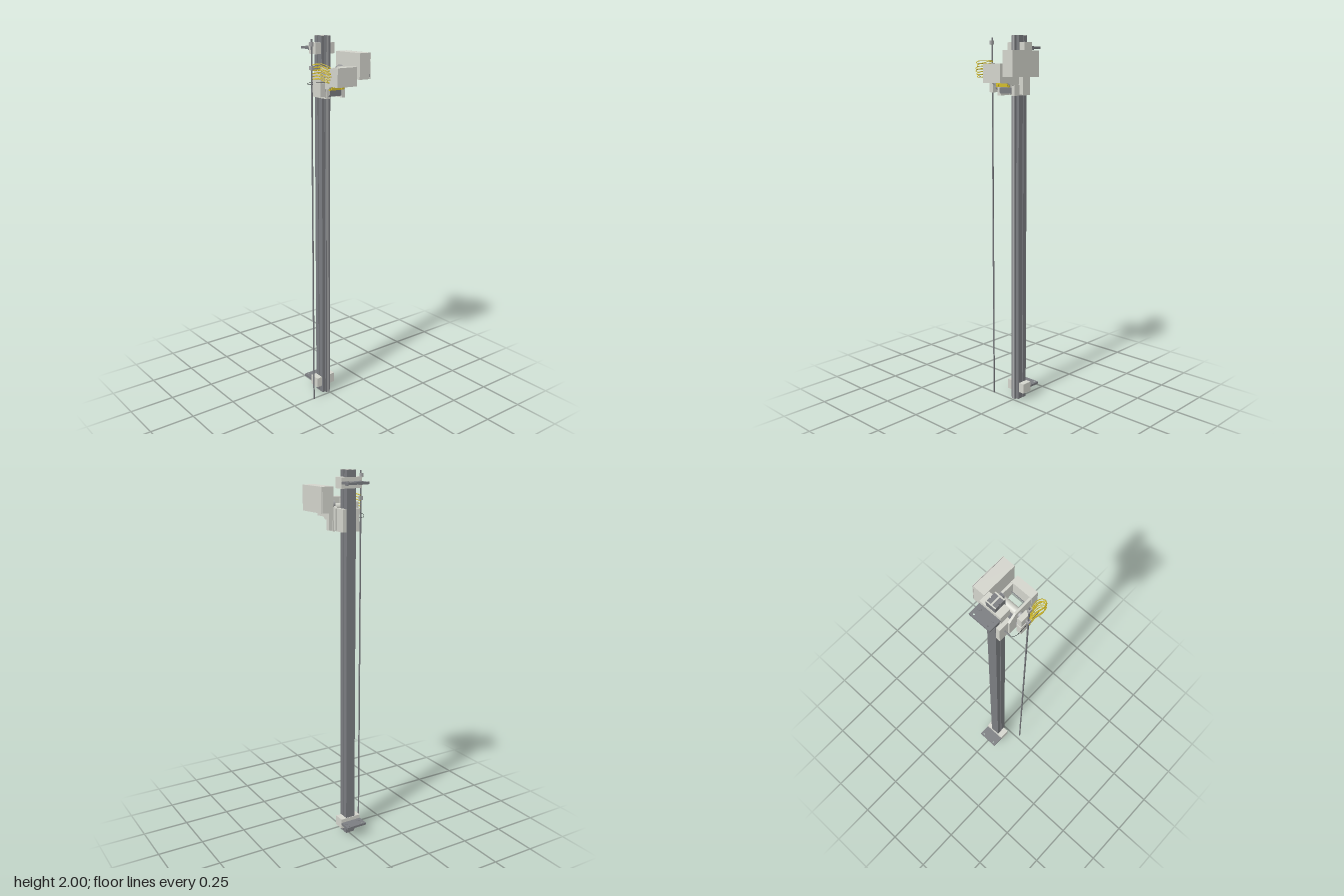
import * as THREE from 'three';

const mat = (name, color) => new THREE.MeshStandardMaterial({ name, color });

export function createModel() {
  const light = mat('light grey', 0xd3d4cc);
  const dark = mat('dark steel', 0x7b7d81);
  const mid = mat('mid grey', 0xa6a7a8);
  const black = mat('black', 0x2c2d2f);
  const yellow = mat('yellow', 0xd2bc2c);
  const root = new THREE.Group();
  const CX = -0.008; // centre line of the mast

  const add = (name, geo, material, parent = root) => {
    const m = new THREE.Mesh(geo, material);
    m.name = name;
    parent.add(m);
    return m;
  };
  // box from its limits on each axis
  const box = (name, material, [x0, x1], [y0, y1], [z0, z1], parent) => {
    const m = add(name, new THREE.BoxGeometry(x1 - x0, y1 - y0, z1 - z0), material, parent);
    m.position.set((x0 + x1) / 2, (y0 + y1) / 2, (z0 + z1) / 2);
  };
  // cylinder lying along x
  const rod = (name, material, x0, x1, y, z, r, sides = 24) => {
    const m = add(name, new THREE.CylinderGeometry(r, r, x1 - x0, sides).rotateZ(Math.PI / 2), material);
    m.position.set((x0 + x1) / 2, y, z);
  };
  // outline in x and z, extruded upwards from y0
  const upright = (pts, holes, y0, h) => {
    const s = new THREE.Shape(pts.map(([x, z]) => new THREE.Vector2(x, -z)));
    holes.forEach(([x, z, r]) => s.holes.push(new THREE.Path().absarc(x, -z, r, 0, Math.PI * 2, true)));
    return new THREE.ExtrudeGeometry(s, { depth: h, bevelEnabled: false, curveSegments: 10 })
      .rotateX(-Math.PI / 2).translate(0, y0, 0);
  };
  // outline in z and y, extruded along x
  const sidePlate = (pts, x0, x1) =>
    new THREE.ExtrudeGeometry(new THREE.Shape(pts.map(([z, y]) => new THREE.Vector2(-z, y))),
      { depth: x1 - x0, bevelEnabled: false }).rotateY(Math.PI / 2).translate(x0, 0, 0);

  // mast: deep beam with shallow side grooves and a guide rail on its front face
  const half = [[0.027, -0.085], [0.027, -0.06], [0.022, -0.06], [0.022, -0.054], [0.027, -0.054],
    [0.027, -0.024], [0.009, -0.024], [0.009, -0.02], [0.012, -0.018], [0.012, -0.012]];
  const profile = [...half.map(([x, z]) => [CX + x, z]), ...half.slice().reverse().map(([x, z]) => [CX - x, z])];
  add('mast', upright(profile, [], 0, 1.999), dark);
  box('guideRailFace', mid, [CX - 0.006, CX + 0.006], [0, 2], [-0.012, -0.01]);
  // pale cut ends of the web and flanges
  for (const y of [[1.999, 2], [-0.001, 0]]) {
    box('webEnd', light, [CX - 0.004, CX + 0.004], y, [-0.079, -0.031]);
    box('backFlangeEnd', light, [CX - 0.027, CX + 0.027], y, [-0.085, -0.079]);
    box('frontFlangeEnd', light, [CX - 0.027, CX + 0.027], y, [-0.031, -0.024]);
  }

  // wall brackets at the foot and the head of the mast
  for (const y of [0.04, 1.91]) {
    const g = new THREE.Group();
    g.name = 'wallBracket';
    root.add(g);
    for (const s of [-1, 1]) {
      const x = [CX + s * 0.027, CX + s * 0.06].sort((a, b) => a - b);
      box('clamp', light, x, [y, y + 0.055], [-0.087, -0.03], g);
    }
    box('clampBack', light, [CX - 0.06, CX + 0.06], [y, y + 0.055], [-0.089, -0.0855], g);
    const plate = [[-0.068, -0.155], [0.052, -0.155], [0.052, -0.088], [-0.068, -0.088]];
    const holes = [-0.047, 0.033].map(x => [x, -0.143, 0.004]);
    add('wallPlate', upright(plate, holes, y + 0.022, 0.012), dark, g);
    for (const x of [-0.047, 0.033]) {
      const bolt = add('bolt', new THREE.CylinderGeometry(0.01, 0.01, 0.02, 20), dark, g);
      bolt.position.set(x, y + 0.026, -0.108);
    }
  }

  // carriage: cheeks beside the mast and tapered arms reaching forward
  for (const s of [-1, 1]) {
    const [a, b] = [CX + s * 0.028, CX + s * 0.05].sort((p, q) => p - q);
    box('carriageCheek', light, [a, b], [1.695, 1.81], [-0.084, -0.012]);
  }
  const arm = [[-0.03, 1.81], [-0.03, 1.7], [0.045, 1.7], [0.045, 1.745], [0.075, 1.747], [0.085, 1.757],
    [0.11, 1.762], [0.11, 1.85], [0.01, 1.85]];
  add('rightArm', sidePlate(arm, -0.067, -0.056), light);
  add('leftArm', sidePlate(arm, 0.041, 0.053), light);
  box('frontHousing', light, [-0.069, 0.053], [1.76, 1.855], [0.108, 0.15]);
  box('lowerBlock', dark, [-0.05, 0.035], [1.705, 1.735], [0.015, 0.05]);
  for (const x of [-0.062, 0.036])
    box('lowerFoot', light, [x, x + 0.022], [1.695, 1.75], [-0.015, 0.05]);

  // roller, cross rods and marker bar between the arms
  rod('roller', light, -0.056, 0.041, 1.81, 0.035, 0.02);
  rod('rollerShaft', mid, -0.082, 0.07, 1.81, 0.035, 0.007, 12);
  for (const [y, z] of [[1.79, -0.008], [1.77, 0.05], [1.79, 0.098]])
    rod('crossRod', dark, -0.056, 0.041, y, z, 0.0025, 8);
  box('markerBar', yellow, [-0.056, 0.035], [1.738, 1.757], [0.058, 0.07]);
  for (const x of [-0.048, 0.015])
    box('markerHook', yellow, [x, x + 0.016], [1.742, 1.752], [0.07, 0.077]);

  // drive on the right side
  box('motor', light, [-0.109, -0.082], [1.71, 1.775], [0, 0.064]);
  box('motorTop', light, [-0.106, -0.08], [1.775, 1.835], [0.004, 0.06]);
  rod('motorCoupling', mid, -0.084, -0.067, 1.81, 0.035, 0.016);
  rod('motorFlange', mid, -0.084, -0.067, 1.74, 0.03, 0.018);

  // hub, stem and control cabinet on the left side
  rod('hub', mid, 0.045, 0.062, 1.83, 0, 0.02);
  rod('hubRim', mid, 0.061, 0.072, 1.83, 0, 0.026);
  box('hubStem', light, [0.053, 0.08], [1.7, 1.795], [-0.012, 0.012]);
  box('controlCabinet', light, [0.07, 0.135], [1.79, 1.92], [-0.043, 0.15]);
  box('cabinetSeam', dark, [0.135, 0.137], [1.792, 1.918], [-0.041, 0.148]);
  box('cabinetLid', light, [0.137, 0.14], [1.79, 1.92], [-0.043, 0.15]);

  // hanging cable with its clip
  box('cableRun', dark, [-0.133, -0.127], [0.01, 1.99], [0.017, 0.023]);
  box('cableClip', mid, [-0.139, -0.127], [1.955, 1.975], [0.01, 0.03]);
  box('cableTie', mid, [-0.139, -0.121], [1.84, 1.86], [0.011, 0.029]);

  const tube = (name, pts, r, material, closed) => add(name, new THREE.TubeGeometry(
    new THREE.CatmullRomCurve3(pts.map(p => new THREE.Vector3(...p)), closed), 40, r, 6, closed), material);
  // slack cable loops
  for (let i = 0; i < 6; i++) {
    const y = 1.795 + i * 0.014, w = 0.017 + (i % 3) * 0.003, end = 0.138 + (i % 4) * 0.004;
    const c = -0.117;
    tube('cableLoop', [[-0.127, y, 0.02], [c - w * 0.6, y + 0.006, 0.07], [c - w, y + 0.004, end - 0.03],
      [c - w * 0.6, y - 0.004, end - 0.006], [c, y - 0.008, end], [c + w * 0.6, y - 0.008, end - 0.006],
      [c + w, y - 0.004, end - 0.03], [c + w * 0.4, y + 0.008, 0.06]], 0.002, yellow, true);
  }
  // thin lead from the carriage to the cable loops
  tube('lead', [[-0.07, 1.76, -0.053], [-0.1, 1.76, -0.052], [-0.114, 1.77, -0.035],
    [-0.116, 1.78, 0.03], [-0.116, 1.79, 0.13]], 0.001, black, false);
  rod('leadPlug', dark, -0.09, -0.058, 1.76, -0.053, 0.003, 8);

  return root;
}
